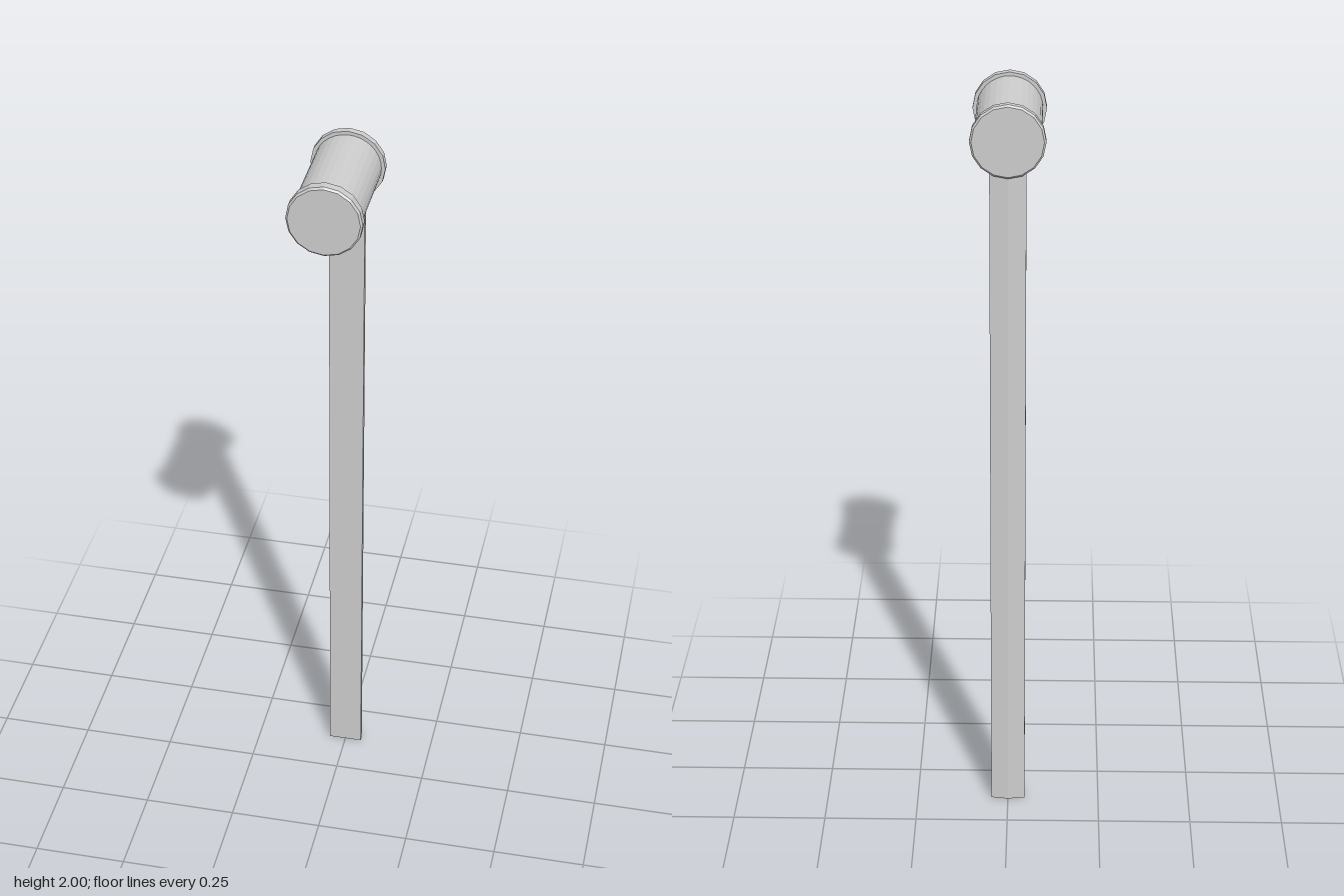
import * as THREE from 'three';

const AXIS_Y = 1.905;

export function createModel() {
  const group = new THREE.Group();
  const material = new THREE.MeshStandardMaterial({ color: 0xcccccc, flatShading: true });

  const add = (name, geometry, x = 0, y = 0, z = 0) => {
    const mesh = new THREE.Mesh(geometry, material);
    mesh.name = name;
    mesh.position.set(x, y, z);
    group.add(mesh);
    return mesh;
  };

  // Drum lying along z
  const drum = new THREE.CylinderGeometry(0.085, 0.085, 0.28, 32);
  add('drum', drum.rotateX(Math.PI / 2), 0, AXIS_Y, 0);

  // End rims, bevelled on the outer edge
  const rim = (name, depth, z, turn) => {
    const profile = [
      [0, 0], [0.095, 0], [0.095, depth - 0.005], [0.09, depth], [0, depth],
    ].map(([r, h]) => new THREE.Vector2(r, h));
    const geometry = new THREE.LatheGeometry(profile, 16).rotateX(turn * Math.PI / 2);
    add(name, geometry, 0, AXIS_Y, z);
  };
  rim('frontRim', 0.027, 0.127, 1);
  rim('backRim', 0.023, -0.132, -1);

  // Long strip: flat in front, shallow ridge down the back (shape y becomes -z)
  const section = new THREE.Shape([
    [-0.046, 0.122], [0.046, 0.122], [0.046, 0.137], [0, 0.144], [-0.046, 0.137],
  ].map(([x, d]) => new THREE.Vector2(x, d)));
  const strip = new THREE.ExtrudeGeometry(section, { depth: 1.86, bevelEnabled: false });
  add('strip', strip.rotateX(-Math.PI / 2));

  // Small block joining the strip to the drum
  add('stripClip', new THREE.BoxGeometry(0.092, 0.03, 0.022), 0, 1.835, -0.116);

  return group;
}
